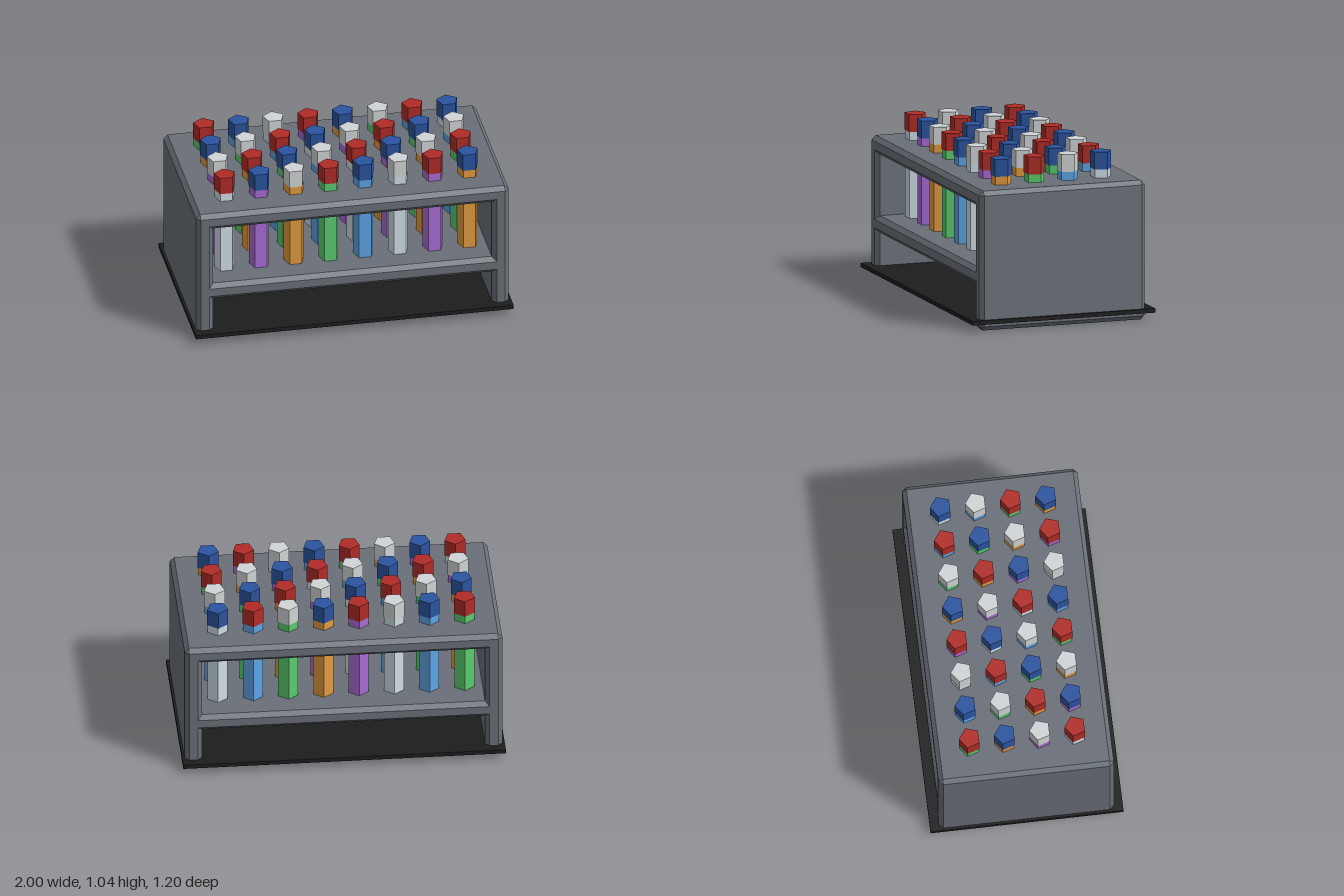
import * as THREE from 'three';
import { ConvexGeometry } from 'three/addons/geometries/ConvexGeometry.js';

const paint = (color) => new THREE.MeshStandardMaterial({ color, flatShading: true });

// Box with every edge cut at 45 degrees
function chamferBox(w, h, d, c) {
  const points = [];
  for (const x of [-1, 1]) for (const y of [-1, 1]) for (const z of [-1, 1]) {
    for (let outer = 0; outer < 3; outer++) {
      const inset = [c, c, c];
      inset[outer] = 0;
      points.push(new THREE.Vector3(
        x * (w / 2 - inset[0]), y * (h / 2 - inset[1]), z * (d / 2 - inset[2])));
    }
  }
  return new ConvexGeometry(points);
}

function add(parent, name, geometry, material, x, y, z) {
  const mesh = new THREE.Mesh(geometry, material);
  mesh.name = name;
  mesh.position.set(x, y, z);
  parent.add(mesh);
  return mesh;
}

export function createModel() {
  const model = new THREE.Group();
  model.name = 'testTubeRack';

  // Thin dark mat through which the side panels reach the ground
  add(model, 'basePlate', new THREE.BoxGeometry(2, 0.026, 1.2), paint(0x1d1d1d), 0, 0.057, 0);

  // Rack: two side panels, top deck and lower shelf
  const rack = new THREE.Group();
  rack.name = 'rack';
  model.add(rack);
  const rackPaint = paint(0x6a7078);
  const depth = 1.09, thick = 0.107, cut = 0.027;
  const side = chamferBox(thick, 0.877, depth, cut);
  add(rack, 'leftSidePanel', side, rackPaint, 0.931, 0.4385, 0);
  add(rack, 'rightSidePanel', side, rackPaint, -0.931, 0.4385, 0);
  add(rack, 'topDeck', chamferBox(1.969, thick, depth, cut), rackPaint, 0, 0.8235, 0);
  add(rack, 'lowerShelf', chamferBox(1.87, thick, depth, cut), rackPaint, 0, 0.331, 0);

  // Five-sided tubes with caps, one edge pointing to the back
  const tubeBottom = 0.33, capBottom = 0.93, capTop = 1.04;
  const tubeGeometry = new THREE.CylinderGeometry(0.065, 0.065, capBottom - tubeBottom, 5).rotateY(Math.PI);
  const capGeometry = new THREE.CylinderGeometry(0.068, 0.068, capTop - capBottom, 5).rotateY(Math.PI);
  const tubePaints = [0xd0dee8, 0xaa6cd6, 0xe29c40, 0x5acd6e, 0x5fa5e4].map(paint);
  const capPaints = [0xb02c27, 0x2b54a0, 0xd2d5d7].map(paint);
  const spacing = 0.2186;

  const tubes = new THREE.Group();
  tubes.name = 'tubes';
  model.add(tubes);
  for (let row = 0; row < 4; row++) {
    for (let col = 0; col < 8; col++) {
      const x = (col - 3.5) * spacing, z = (row - 1.5) * spacing;
      add(tubes, 'tube', tubeGeometry, tubePaints[(col + 3 - row) % 5], x, (tubeBottom + capBottom) / 2, z);
      add(tubes, 'cap', capGeometry, capPaints[(col + row) % 3], x, (capBottom + capTop) / 2, z);
    }
  }
  return model;
}
